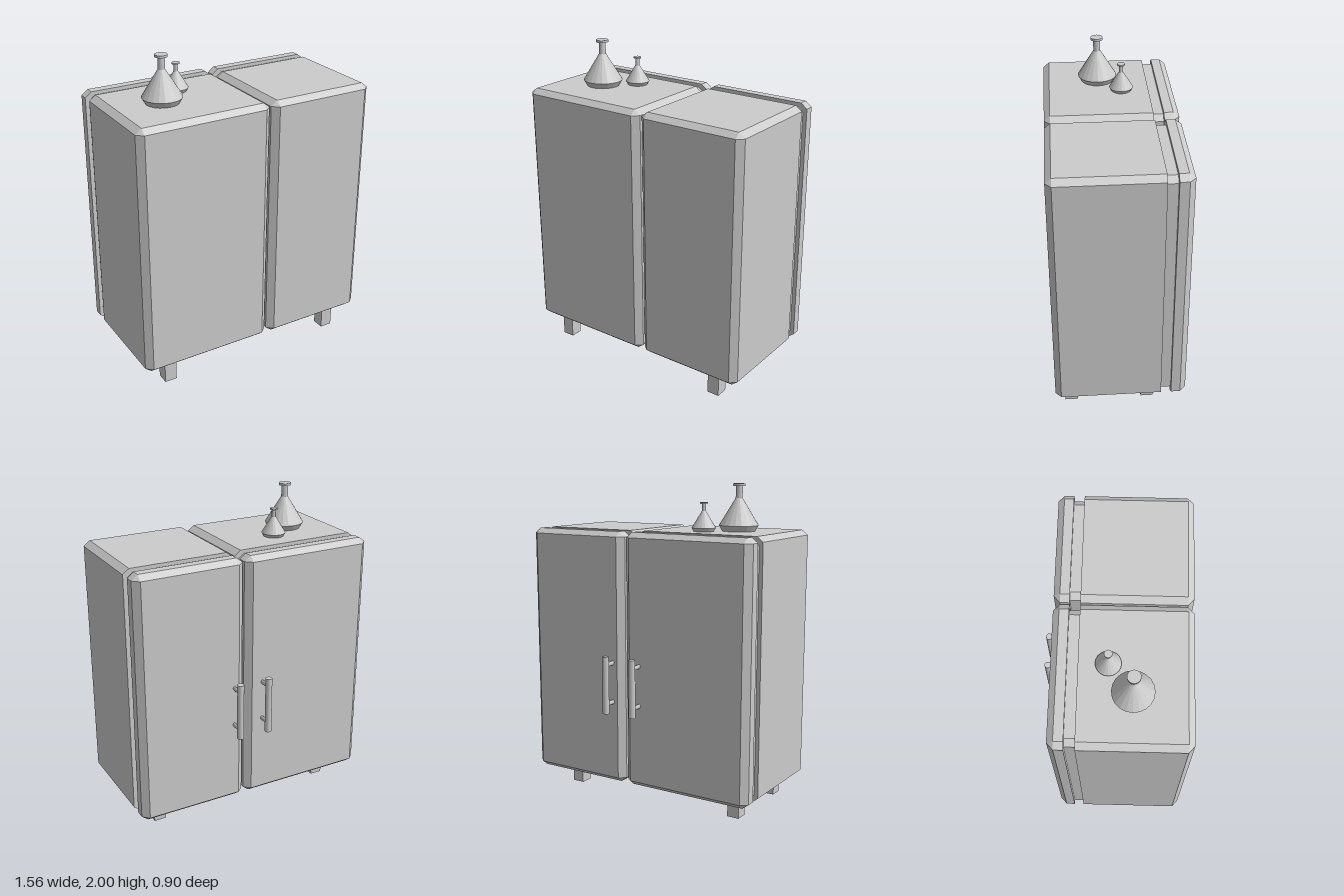
import * as THREE from 'three';
import { ConvexGeometry } from 'three/addons/geometries/ConvexGeometry.js';

const grey = new THREE.MeshStandardMaterial({ color: 0xcccccc });
const faceted = new THREE.MeshStandardMaterial({ color: 0xcccccc, flatShading: true, side: THREE.DoubleSide });

function add(parent, name, geometry, x = 0, y = 0, z = 0, material = grey) {
  const mesh = new THREE.Mesh(geometry, material);
  mesh.name = name;
  mesh.position.set(x, y, z);
  parent.add(mesh);
  return mesh;
}

// Box with chamfered edges along z, flat at zFlat and chamfered all round at zBevel
function chamferedBox(x0, x1, y0, y1, zFlat, zBevel, endBevel = 0) {
  const bx = 0.04, by = 0.031;
  const zIn = zBevel - Math.sign(zBevel - zFlat) * endBevel;
  const points = [];
  for (const [x, dx] of [[x0, bx], [x1, -bx]]) {
    for (const [y, dy] of [[y0, by], [y1, -by]]) {
      for (const z of [zFlat, zIn]) {
        points.push(new THREE.Vector3(x, y + dy, z), new THREE.Vector3(x + dx, y, z));
      }
      if (endBevel) points.push(new THREE.Vector3(x + dx, y + dy, zBevel));
    }
  }
  return new ConvexGeometry(points);
}

function cabinet(name, x0, x1, handleX) {
  const g = new THREE.Group();
  g.name = name;
  const y0 = 0.138, y1 = 1.716;
  add(g, 'body', chamferedBox(x0, x1, y0, y1, -0.202, 0.448, 0.036));
  // recessed seal between body and door
  add(g, 'doorSeal', chamferedBox(x0 + 0.024, x1 - 0.025, y0 + 0.02, y1 - 0.022, -0.19, -0.275));
  add(g, 'door', chamferedBox(x0, x1, y0, y1, -0.264, -0.357, 0.037));

  // upright bar on two short oval posts
  add(g, 'handleBar', new THREE.CylinderGeometry(0.021, 0.021, 0.36, 16), handleX, 0.785, -0.434);
  for (const y of [0.662, 0.91]) {
    const post = new THREE.CylinderGeometry(1, 1, 0.08, 12).rotateX(Math.PI / 2).scale(0.009, 0.014, 1);
    add(g, 'handlePost', post, handleX, y, -0.39);
  }
  return g;
}

function flask(name, x, z, scale) {
  const profile = [[0, 0], [0.1, 0], [0.121, 0.035], [0.021, 0.198], [0.021, 0.268],
    [0.038, 0.27], [0.038, 0.284], [0, 0.284]].map(([r, y]) => new THREE.Vector2(r, y));
  const geometry = new THREE.LatheGeometry(profile, 20).scale(scale, scale, scale);
  return [name, geometry, x, 1.716, z, faceted];
}

export function createModel() {
  const model = new THREE.Group();
  model.name = 'twinCabinet';
  model.add(cabinet('wideCabinet', -0.78, 0.071, -0.04));
  model.add(cabinet('narrowCabinet', 0.083, 0.777, 0.155));

  // square feet
  for (const x of [-0.598, 0.59]) {
    for (const z of [0.35, -0.13]) {
      add(model, 'foot', new THREE.BoxGeometry(0.078, 0.15, 0.079), x, 0.075, z);
    }
  }

  // flasks standing on the wide cabinet
  add(model, ...flask('largeFlask', -0.46, 0.107, 1));
  add(model, ...flask('smallFlask', -0.297, -0.033, 0.61));
  return model;
}
